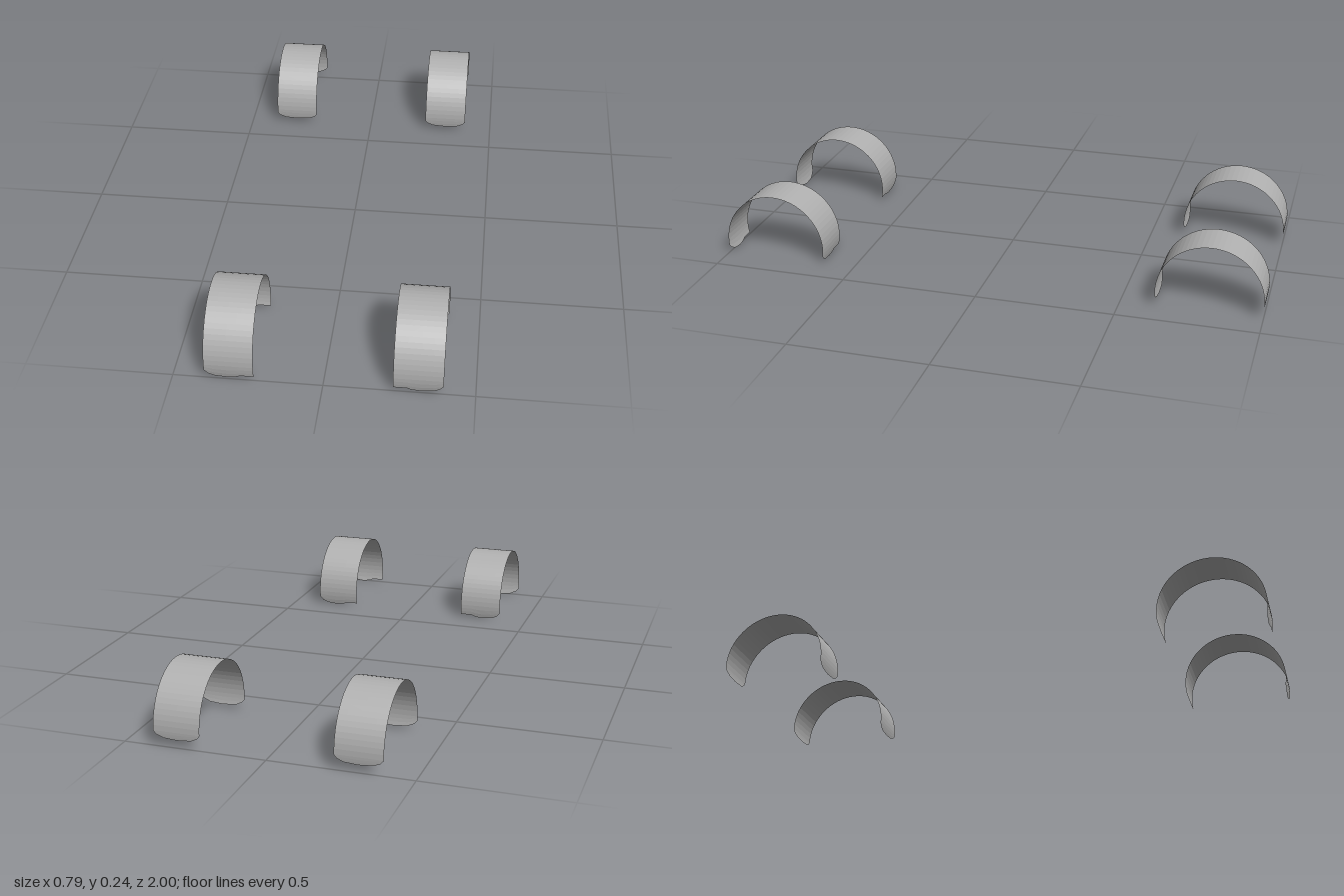
import * as THREE from 'three';

const R = 0.19, CY = 0.055, CZ = 0.81;

// Lower edge outlines: [distance from the centre line, height]
const steppedEdge = [[0.23, 0.013], [0.275, 0.013], [0.29, 0.006], [0.32, 0.002],
  [0.36, 0.006], [0.383, 0.017], [0.395, 0.031]];
const roundedFrontEdge = [[0.23, 0.04], [0.24, 0.028], [0.262, 0.018], [0.312, 0.014],
  [0.36, 0.018], [0.384, 0.028], [0.395, 0.04]];
const roundedBackEdge = roundedFrontEdge.map(([x, y]) => [x, y + 0.014]);

// Curved sheet: half a cylinder, continued at both ends down to its outline
function archGeometry(frontEdge, backEdge, side) {
  const half = 32, tail = 3, pos = [], index = [];
  const cols = frontEdge.length;
  const drop = (y) => Math.asin((CY - y) / R);
  const rows = half + 2 * tail;
  for (let j = 0; j <= rows; j++) {
    for (let i = 0; i < cols; i++) {
      let a;
      if (j < tail) a = -drop(frontEdge[i][1]) * (1 - j / tail);
      else if (j > tail + half) a = Math.PI + drop(backEdge[i][1]) * (j - tail - half) / tail;
      else a = Math.PI * (j - tail) / half;
      pos.push(side * frontEdge[i][0], CY + R * Math.sin(a), R * Math.cos(a));
    }
  }
  for (let j = 0; j < rows; j++) {
    for (let i = 0; i < cols - 1; i++) {
      const a = j * cols + i, b = a + 1, c = a + cols, d = c + 1;
      // Keep the outside of the curve as the front of the faces
      if (side > 0) index.push(a, b, d, a, d, c);
      else index.push(a, d, b, a, c, d);
    }
  }
  const g = new THREE.BufferGeometry();
  g.setAttribute('position', new THREE.Float32BufferAttribute(pos, 3));
  g.setIndex(index);
  g.computeVertexNormals();
  return g;
}

export function createModel() {
  const group = new THREE.Group();
  group.name = 'wheelArchLiners';
  const grey = new THREE.MeshStandardMaterial({ color: 0xb0b0b0, side: THREE.DoubleSide, flatShading: true });
  grey.name = 'linerGrey';

  for (const [sideName, side] of [['Left', 1], ['Right', -1]]) {
    // Front liners with a stepped lower edge
    const front = new THREE.Mesh(archGeometry(steppedEdge, steppedEdge, side), grey);
    front.name = 'front' + sideName + 'Liner';
    front.position.z = CZ;
    // Rear liners with rounded tongues
    const rear = new THREE.Mesh(archGeometry(roundedFrontEdge, roundedBackEdge, side), grey);
    rear.name = 'rear' + sideName + 'Liner';
    rear.position.z = -CZ;
    group.add(front, rear);
  }
  return group;
}
